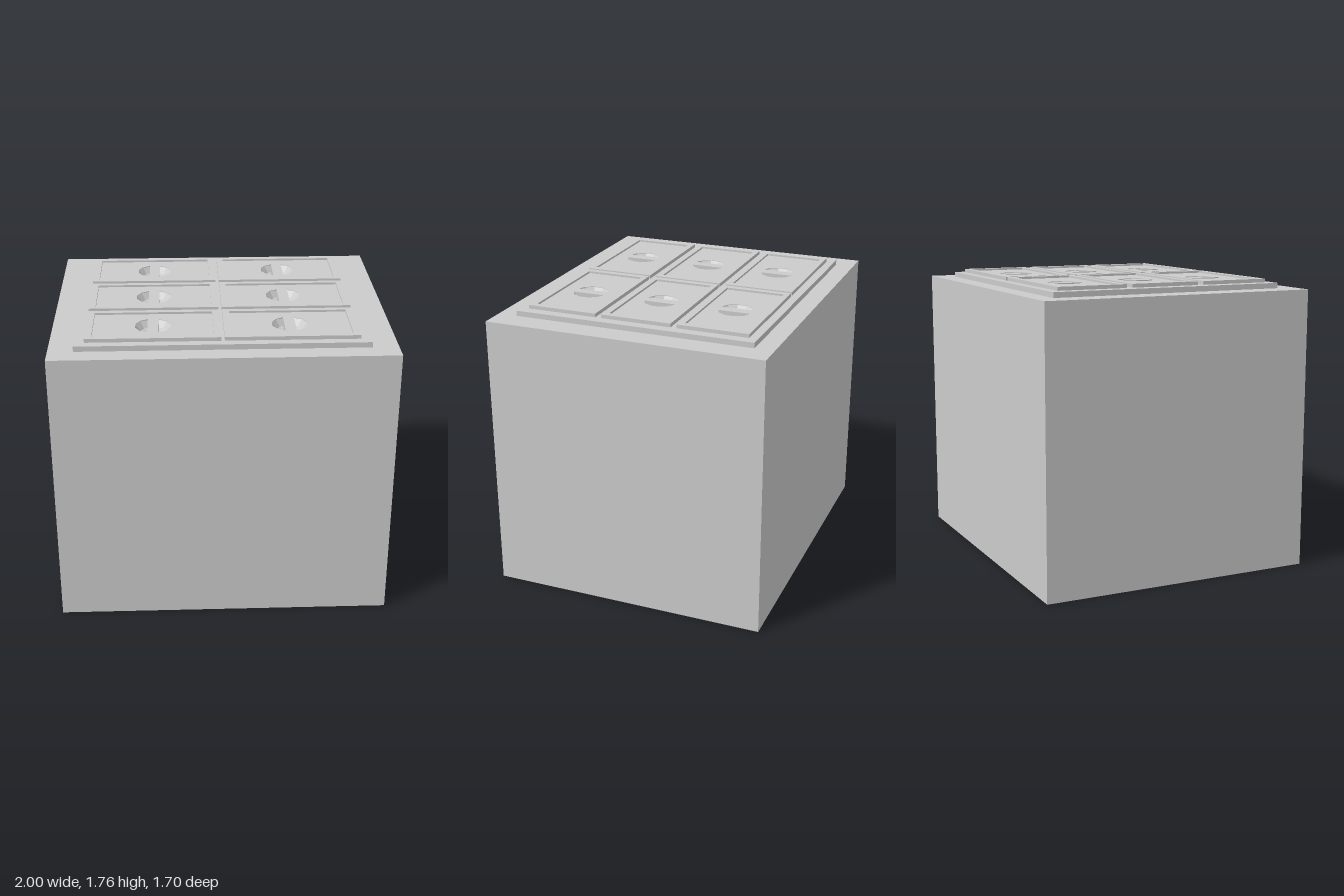
import * as THREE from 'three';

const mat = new THREE.MeshStandardMaterial({ color: 0xcccccc, flatShading: true, side: THREE.DoubleSide });

function rect(w, d, Type = THREE.Shape) {
  return new Type([[-1, -1], [1, -1], [1, 1], [-1, 1]].map(([x, y]) => new THREE.Vector2(x * w / 2, y * d / 2)));
}

// Extrudes a plan outline upwards from y0 to y1
function slab(name, shape, y0, y1) {
  const geo = new THREE.ExtrudeGeometry(shape, { depth: y1 - y0, bevelEnabled: false });
  geo.rotateX(-Math.PI / 2);
  geo.translate(0, y0, 0);
  const mesh = new THREE.Mesh(geo, mat);
  mesh.name = name;
  return mesh;
}

const R = 0.108, BAR = 0.065, SIDES = 12;
const ringAngle = (i) => ((i + 0.5) / SIDES) * Math.PI * 2;

// Half of the round grip opening, on one side of the bar
function halfGrip(side) {
  const zEnd = R * 0.93;
  const pts = [new THREE.Vector2(side * BAR / 2, -zEnd)];
  for (let i = -3; i < 3; i++) {
    const a = ringAngle(i);
    if (R * Math.cos(a) > BAR / 2) pts.push(new THREE.Vector2(side * R * Math.cos(a), R * Math.sin(a)));
  }
  pts.push(new THREE.Vector2(side * BAR / 2, zEnd));
  return new THREE.Path(pts);
}

// One lid: raised rim, sunken panel, faceted bowl and the bar across it
function makeLid() {
  const lid = new THREE.Group();
  lid.name = 'lid';
  const rim = rect(0.78, 0.43);
  rim.holes.push(rect(0.7, 0.36, THREE.Path));
  lid.add(slab('lidRim', rim, 1.738, 1.76));

  const panel = rect(0.7, 0.36);
  panel.holes.push(halfGrip(1), halfGrip(-1));
  lid.add(slab('lidPanel', panel, 1.736, 1.748));

  const profile = [[0.001, -0.055], [0.04, -0.052], [0.078, -0.038], [R, 0]].map(([x, y]) => new THREE.Vector2(x, y));
  const bowl = new THREE.Mesh(new THREE.LatheGeometry(profile, SIDES, Math.PI / SIDES), mat);
  bowl.name = 'gripBowl';
  bowl.position.y = 1.745;
  lid.add(bowl);

  const bar = new THREE.Mesh(new THREE.BoxGeometry(BAR, 0.048, R * 1.86), mat);
  bar.name = 'gripBar';
  bar.position.y = 1.723;
  lid.add(bar);
  return lid;
}

export function createModel() {
  const model = new THREE.Group();
  model.name = 'counterUnit';

  // Hollow body, open underneath
  const body = rect(2, 1.7);
  body.holes.push(rect(1.51, 1.33, THREE.Path));
  model.add(slab('body', body, 0, 1.705));

  // Top plate with a round opening under each grip
  const plate = rect(1.7, 1.465);
  const spots = [];
  for (const x of [-0.4, 0.4]) for (const z of [-0.467, 0, 0.467]) spots.push([x, z]);
  for (const [x, z] of spots) {
    const hole = new THREE.Path();
    hole.absarc(x, -z, R + 0.004, 0, Math.PI * 2, true);
    plate.holes.push(hole);
  }
  const top = new THREE.Group();
  top.name = 'top';
  top.add(slab('topPlate', plate, 1.7, 1.737));

  // Six lids in two columns and three rows
  for (const [x, z] of spots) {
    const lid = makeLid();
    lid.position.set(x, 0, z);
    top.add(lid);
  }
  top.position.set(-0.003, 0, -0.002);
  model.add(top);
  return model;
}
